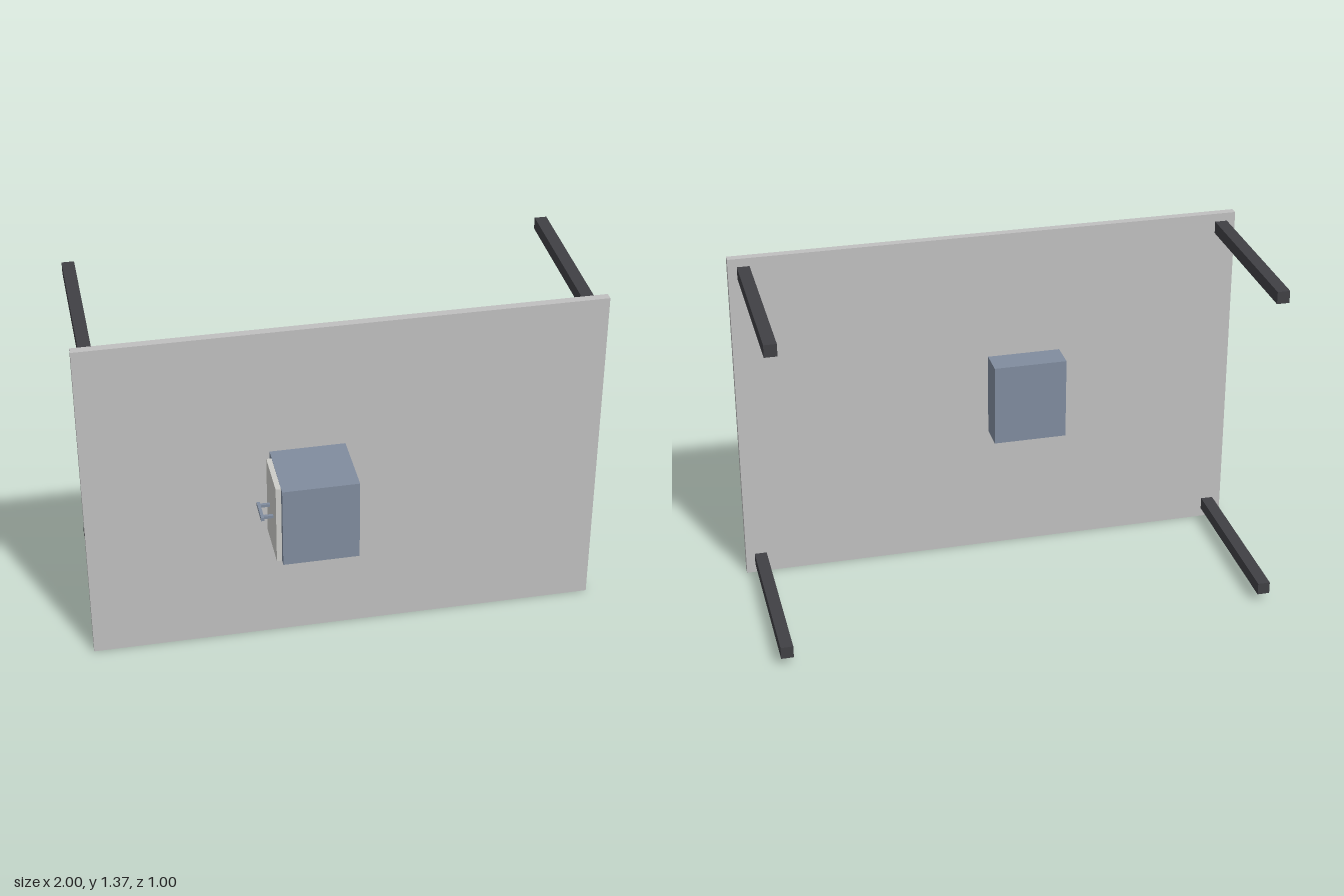
import * as THREE from 'three';

const material = (name, color) => {
  const m = new THREE.MeshStandardMaterial({ color });
  m.name = name;
  return m;
};

export function createModel() {
  const model = new THREE.Group();
  model.name = 'tippedDesk';
  const lightGrey = material('lightGrey', 0xc0c0c0);
  const slateBlue = material('slateBlue', 0x808c9e);
  const charcoal = material('charcoal', 0x404044);
  const paleGrey = material('paleGrey', 0xccccc8);

  // Box given by its extents along each axis
  const box = (name, mat, [x0, x1], [y0, y1], [z0, z1], parent = model) => {
    const mesh = new THREE.Mesh(new THREE.BoxGeometry(x1 - x0, y1 - y0, z1 - z0), mat);
    mesh.position.set((x0 + x1) / 2, (y0 + y1) / 2, (z0 + z1) / 2);
    mesh.name = name;
    parent.add(mesh);
  };

  // Upright table top
  box('tableTop', lightGrey, [-1, 1], [0, 1.367], [0.197, 0.229]);

  // Four square legs pointing backwards
  for (const [side, x] of [['right', -0.943], ['left', 0.941]])
    for (const [level, y] of [['Lower', 0.06], ['Upper', 1.31]])
      box(side + level + 'Leg', charcoal, [x - 0.024, x + 0.024], [y - 0.024, y + 0.024], [-0.5, 0.197]);

  // Cabinet passing through the top, with its drawer front on the right side
  box('cabinet', slateBlue, [-0.29, 0], [0.521, 0.851], [0.085, 0.5]);
  box('drawerFront', paleGrey, [-0.31, -0.29], [0.523, 0.849], [0.272, 0.475]);

  // Drawer handle: a grip on two posts
  const handle = new THREE.Group();
  handle.name = 'drawerHandle';
  model.add(handle);
  box('grip', slateBlue, [-0.358, -0.346], [0.677, 0.692], [0.32, 0.424], handle);
  for (const z of [0.335, 0.409])
    box('post', slateBlue, [-0.346, -0.31], [0.679, 0.69], [z - 0.006, z + 0.006], handle);

  return model;
}
